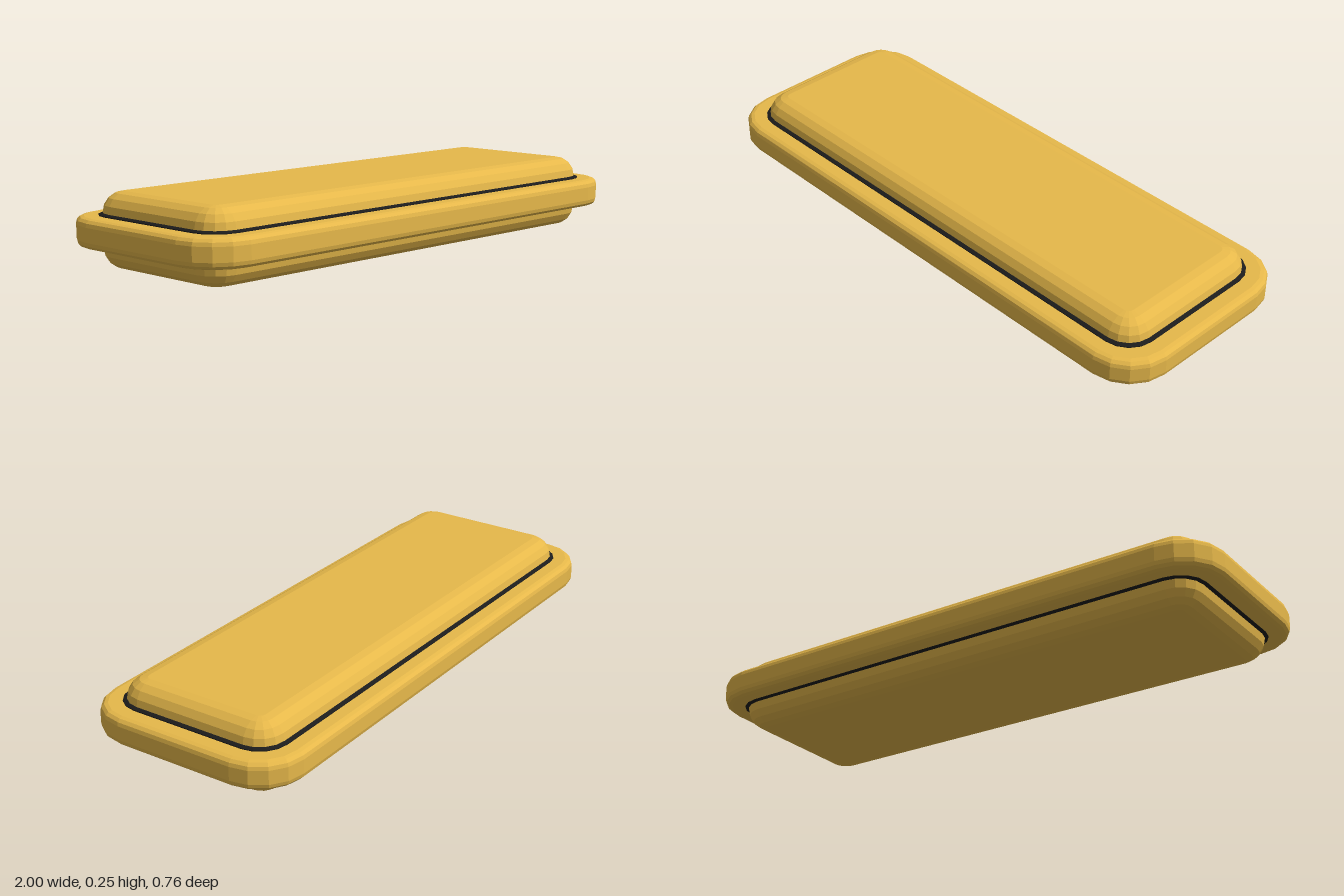
import * as THREE from 'three';

const gold = new THREE.MeshStandardMaterial({ color: 0xe6b84a, flatShading: true });
const dark = new THREE.MeshStandardMaterial({ color: 0x1c1c1c, flatShading: true });
const CORNER_STEPS = 4;

// Rounded rectangle outline in the xz plane, pulled in by inset
function outline(hx, hz, r, inset, y) {
  const pts = [];
  const rr = Math.max(r - inset, 0.02);
  const cx = hx - inset - rr, cz = hz - inset - rr;
  [[1, 1], [-1, 1], [-1, -1], [1, -1]].forEach(([sx, sz], q) => {
    for (let i = 0; i <= CORNER_STEPS; i++) {
      const a = (q + i / CORNER_STEPS) * Math.PI / 2;
      pts.push([sx * cx + rr * Math.cos(a), y, sz * cz + rr * Math.sin(a)]);
    }
  });
  return pts;
}

// Closed solid stacked from outlines; profile lists [inset, y] from bottom to top
function slab(name, hx, hz, r, profile, material) {
  const rings = profile.map(([inset, y]) => outline(hx, hz, r, inset, y));
  const n = rings[0].length;
  const pos = rings.flat(2);
  const index = [];
  for (let k = 0; k < rings.length - 1; k++) {
    for (let i = 0; i < n; i++) {
      const a = k * n + i, b = k * n + (i + 1) % n;
      index.push(a, a + n, b, b, a + n, b + n);
    }
  }
  const bottom = pos.length / 3, top = bottom + 1, last = (rings.length - 1) * n;
  pos.push(0, profile[0][1], 0, 0, profile[profile.length - 1][1], 0);
  for (let i = 0; i < n; i++) {
    const j = (i + 1) % n;
    index.push(bottom, i, j, top, last + j, last + i);
  }
  const indexed = new THREE.BufferGeometry();
  indexed.setAttribute('position', new THREE.Float32BufferAttribute(pos, 3));
  indexed.setIndex(index);
  const geometry = indexed.toNonIndexed();
  geometry.computeVertexNormals();
  const mesh = new THREE.Mesh(geometry, material);
  mesh.name = name;
  return mesh;
}

// Quarter-round edge running from the side (t = 0) to the flat face (t = 1)
function roundEdge(radius, ySide, yFace, steps) {
  return Array.from({ length: steps + 1 }, (_, i) => {
    const a = i / steps * Math.PI / 2;
    return [radius * (1 - Math.cos(a)), ySide + (yFace - ySide) * Math.sin(a)];
  });
}

export function createModel() {
  const group = new THREE.Group();
  group.name = 'bar';

  // Wide rim plate with softened edges
  group.add(slab('rimPlate', 1, 0.378, 0.16, [
    ...roundEdge(0.025, 0.102, 0.077, 3).reverse(),
    ...roundEdge(0.025, 0.15, 0.175, 3),
  ], gold));

  // Dark seam between the rim and the raised panels
  group.add(slab('seam', 0.93, 0.311, 0.1, [
    [0.03, 0.07], [0.03, 0.0763], [0, 0.0763], [0, 0.178], [0.012, 0.183],
  ], dark));

  // Raised panels above and below, with domed edges
  const dome = [0.918, 0.299, 0.09];
  group.add(slab('topPanel', ...dome, roundEdge(0.07, 0.18, 0.252, 4), gold));
  group.add(slab('bottomPanel', ...dome, roundEdge(0.07, 0.072, 0, 4).reverse(), gold));

  return group;
}
